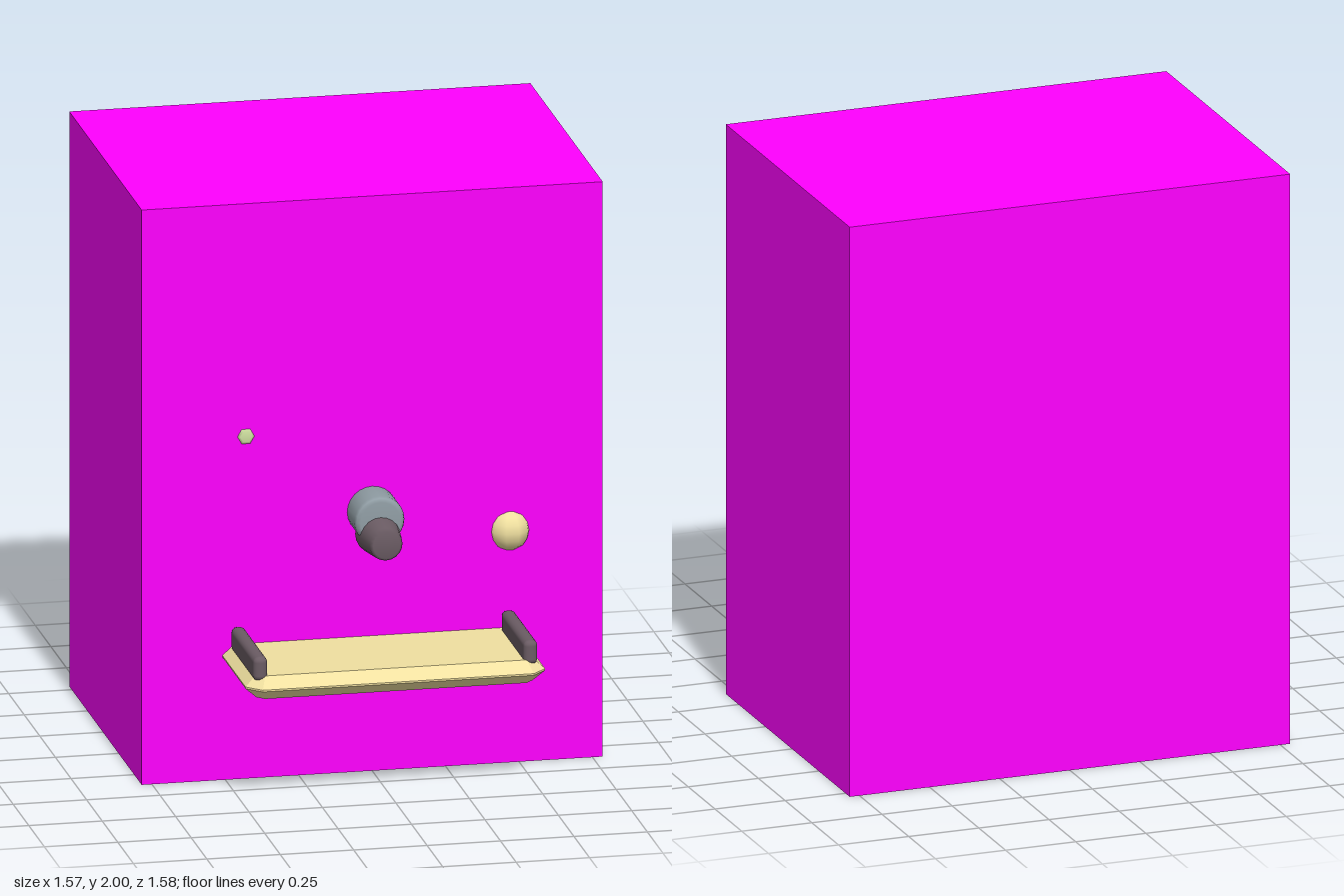
import * as THREE from 'three';
import { RoundedBoxGeometry } from 'three/addons/geometries/RoundedBoxGeometry.js';

const paint = (color) => new THREE.MeshStandardMaterial({ color });

export function createModel() {
  const model = new THREE.Group();
  const magenta = paint(0xff00ff);
  const cream = paint(0xf0e0a0);
  const dark = paint(0x6b5c64);
  const steel = paint(0x909da4);
  const green = paint(0xcfe0a0);

  const add = (name, geometry, material, x, y, z) => {
    const mesh = new THREE.Mesh(geometry, material);
    mesh.name = name;
    mesh.position.set(x, y, z);
    model.add(mesh);
    return mesh;
  };

  // Round part turned about the z axis from [radius, z] points, back to front
  const turned = (points, sides) =>
    new THREE.LatheGeometry(points.map(([r, z]) => new THREE.Vector2(r, z)), sides).rotateX(Math.PI / 2);

  // Cabinet
  add('cabinet', new THREE.BoxGeometry(1.57, 2, 1.16), magenta, 0, 1, -0.21);

  // Tray with clipped corners and a pointed edge all round
  const w = 0.47, front = 0.75, back = 0.2, clip = 0.025;
  const outline = new THREE.Shape([
    [-w, back], [w, back], [w, front - clip], [w - clip, front], [-w + clip, front], [-w, front - clip],
  ].map(([x, z]) => new THREE.Vector2(x, -z)));
  const trayGeometry = new THREE.ExtrudeGeometry(outline, {
    depth: 0.006, bevelThickness: 0.037, bevelSize: 0.04, bevelSegments: 1,
  });
  trayGeometry.rotateX(-Math.PI / 2);
  add('tray', trayGeometry, cream, 0, 0.427, 0);

  // Rails along both tray ends
  for (const side of [-1, 1]) {
    add(side > 0 ? 'leftRail' : 'rightRail',
      new RoundedBoxGeometry(0.048, 0.085, 0.38, 2, 0.02), dark, side * 0.46, 0.493, 0.565);
  }

  // Spout: round body with a softened rim, then a tapered nozzle set lower
  add('spoutBody', turned([
    [0, 0.2], [0.085, 0.2], [0.085, 0.485], [0.08, 0.498], [0.068, 0.505], [0, 0.505],
  ], 24), steel, 0, 0.905, 0);
  add('nozzle', turned([
    [0, 0.44], [0.07, 0.44], [0.075, 0.45], [0.056, 0.592], [0.046, 0.604], [0, 0.604],
  ], 20), dark, 0, 0.853, 0);

  // Round knob and small indicator lamp, both half sunk in the front panel
  add('knob', new THREE.SphereGeometry(0.072, 10, 8), cream, 0.47, 0.805, 0.345);
  add('lamp', turned([
    [0, 0.34], [0.029, 0.34], [0.029, 0.371], [0.02, 0.376], [0, 0.376],
  ], 6).rotateZ(Math.PI / 6), green, -0.43, 1.19, 0);

  return model;
}
